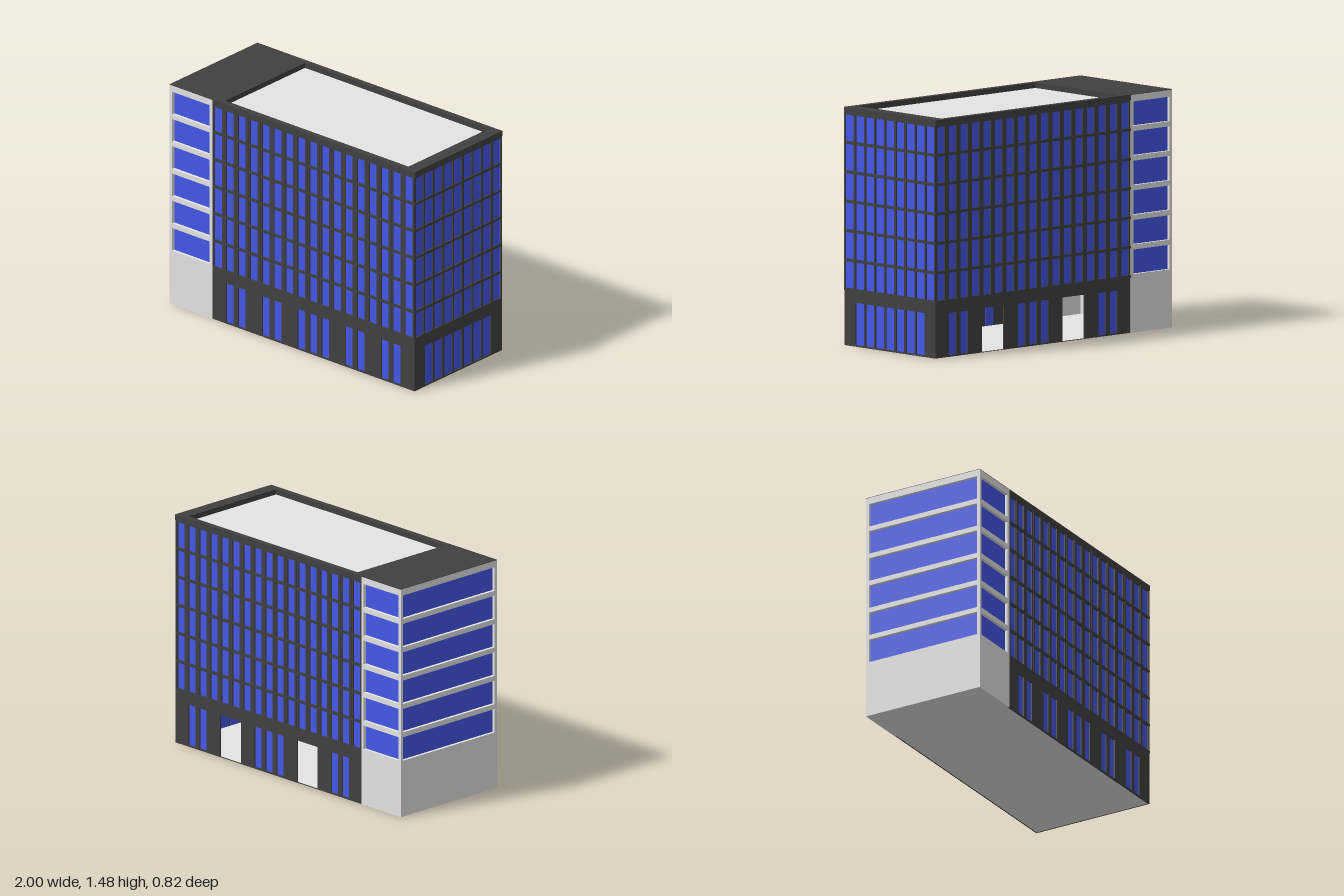
import * as THREE from 'three';

const mat = (name, color) => Object.assign(new THREE.MeshStandardMaterial({ color }), { name });

export function createModel() {
  const dark = mat('dark cladding', 0x404040);
  const light = mat('light concrete', 0xe4e4e4);
  const blue = mat('blue glass', 0x4558e8);
  const building = new THREE.Group();
  building.name = 'officeBuilding';

  function add(parent, name, geometry, material, x = 0, y = 0, z = 0) {
    const mesh = new THREE.Mesh(geometry, material);
    mesh.name = name;
    mesh.position.set(x, y, z);
    parent.add(mesh);
    return mesh;
  }
  // Box given by its minimum and maximum corners
  function block(parent, name, material, x0, x1, y0, y1, z0, z1) {
    return add(parent, name, new THREE.BoxGeometry(x1 - x0, y1 - y0, z1 - z0), material,
      (x0 + x1) / 2, (y0 + y1) / 2, (z0 + z1) / 2);
  }
  const rect = (Type, [x0, x1, y0, y1]) => new Type([
    new THREE.Vector2(x0, y0), new THREE.Vector2(x1, y0),
    new THREE.Vector2(x1, y1), new THREE.Vector2(x0, y1)]);
  // Rectangular plate pierced by rectangular openings
  function pierced(bounds, openings, depth) {
    const shape = rect(THREE.Shape, bounds);
    shape.holes = openings.map((o) => rect(THREE.Path, o));
    return new THREE.ExtrudeGeometry(shape, { depth, bevelEnabled: false });
  }
  // Group for one side: local x runs along the wall, local z points outwards
  function side(name, angle) {
    const group = new THREE.Group();
    group.name = name;
    group.rotation.y = angle;
    building.add(group);
    return group;
  }

  const floors = [0, 1, 2, 3, 4, 5];
  const storey = 0.1825, upperBase = 0.35, wallTop = 1.445, wallDepth = 0.008;

  // Dark curtain wall with a grid of windows, fins, and ground-floor openings
  function curtainWall(group, u0, u1, bays, face, gap, groundBays, doorBays) {
    const pitch = (u1 - u0) / bays, back = face - wallDepth;
    const openings = [];
    for (let i = 0; i < bays; i++) {
      const a = u0 + i * pitch + gap / 2, b = a + pitch - gap;
      for (const f of floors) {
        const y = upperBase + 0.008 + f * storey;
        openings.push([a, b, y, y + 0.164]);
      }
      if (groundBays.includes(i)) {
        openings.push([a, b, 0.01, 0.273]);
        block(group, 'groundWindow', blue, a - 0.003, b + 0.003, 0.006, 0.28, back - 0.004, back);
      }
    }
    for (const i of doorBays) {
      openings.push([u0 + i * pitch + 0.005, u0 + (i + 2) * pitch - 0.005, 0.003, 0.275]);
    }
    add(group, 'wall', pierced([u0, u1, 0, wallTop], openings, wallDepth), dark, 0, 0, back);
    block(group, 'windowGlass', blue, u0 + 0.006, u1 - 0.006, 0.34, 1.44, back - 0.004, back);
    for (let i = 0; i <= bays; i++) {
      const u = THREE.MathUtils.clamp(u0 + i * pitch, u0 + 0.005, u1 - 0.005);
      block(group, 'fin', dark, u - 0.005, u + 0.005, upperBase, wallTop, face, face + 0.002);
    }
    for (const f of floors) {
      const y = upperBase + f * storey;
      block(group, 'floorBand', dark, u0, u1, y - 0.008, y + 0.007, face, face + 0.003);
    }
  }

  // Light tower wall with one wide window per storey
  function towerWall(group, u0, u1, margin, face) {
    const depth = 0.02, back = face - depth;
    const openings = floors.map((f) => {
      const y = 0.363 + f * 0.184;
      return [u0 + margin, u1 - margin, y, y + 0.152];
    });
    add(group, 'towerWall', pierced([u0, u1, 0.003, 1.477], openings, depth), light, 0, 0, back);
    block(group, 'towerGlass', blue, u0 + 0.02, u1 - 0.02, 0.34, 1.45, back - 0.004, back);
  }

  const front = side('frontSide', 0);
  const rear = side('rearSide', Math.PI);
  const rightEnd = side('windowedEnd', Math.PI / 2);
  const towerEnd = side('towerEnd', -Math.PI / 2);

  // Main block
  curtainWall(front, -0.655, 0.997, 17, 0.408, 0.036, [1, 2, 4, 5, 7, 8, 9, 11, 12, 14, 15], []);
  curtainWall(rear, -0.997, 0.655, 17, 0.408, 0.036, [1, 2, 7, 8, 9, 14, 15], [4, 11]);
  curtainWall(rightEnd, -0.408, 0.408, 9, 0.997, 0.016, [1, 2, 3, 4, 5, 6, 7], []);

  // Tower
  towerWall(front, -1, -0.65, 0.022, 0.411);
  towerWall(rear, 0.65, 1, 0.022, 0.411);
  towerWall(towerEnd, -0.411, 0.411, 0.021, 1);

  // Ground slabs and the lobby ceiling seen through the rear doorways
  block(building, 'lobbyFloor', light, -0.65, 0.989, 0, 0.003, -0.4, 0.4);
  block(building, 'towerFloor', light, -1, -0.65, 0, 0.003, -0.411, 0.411);
  block(building, 'lobbyCeiling', light, -0.97, 0.97, 0.29, 0.32, -0.385, 0.385);

  // Roof: raised rim around a sunken light deck, with a dark cap over the tower
  const rim = add(building, 'parapet',
    pierced([-0.65, 1, -0.411, 0.411], [[-0.58, 0.915, -0.37, 0.375]], 0.035), dark, 0, wallTop, 0);
  rim.rotation.x = -Math.PI / 2;
  block(building, 'roofDeck', light, -0.62, 0.97, 1.435, 1.447, -0.388, 0.388);
  block(building, 'towerRoof', dark, -1, -0.65, 1.477, 1.48, -0.411, 0.411);

  return building;
}
